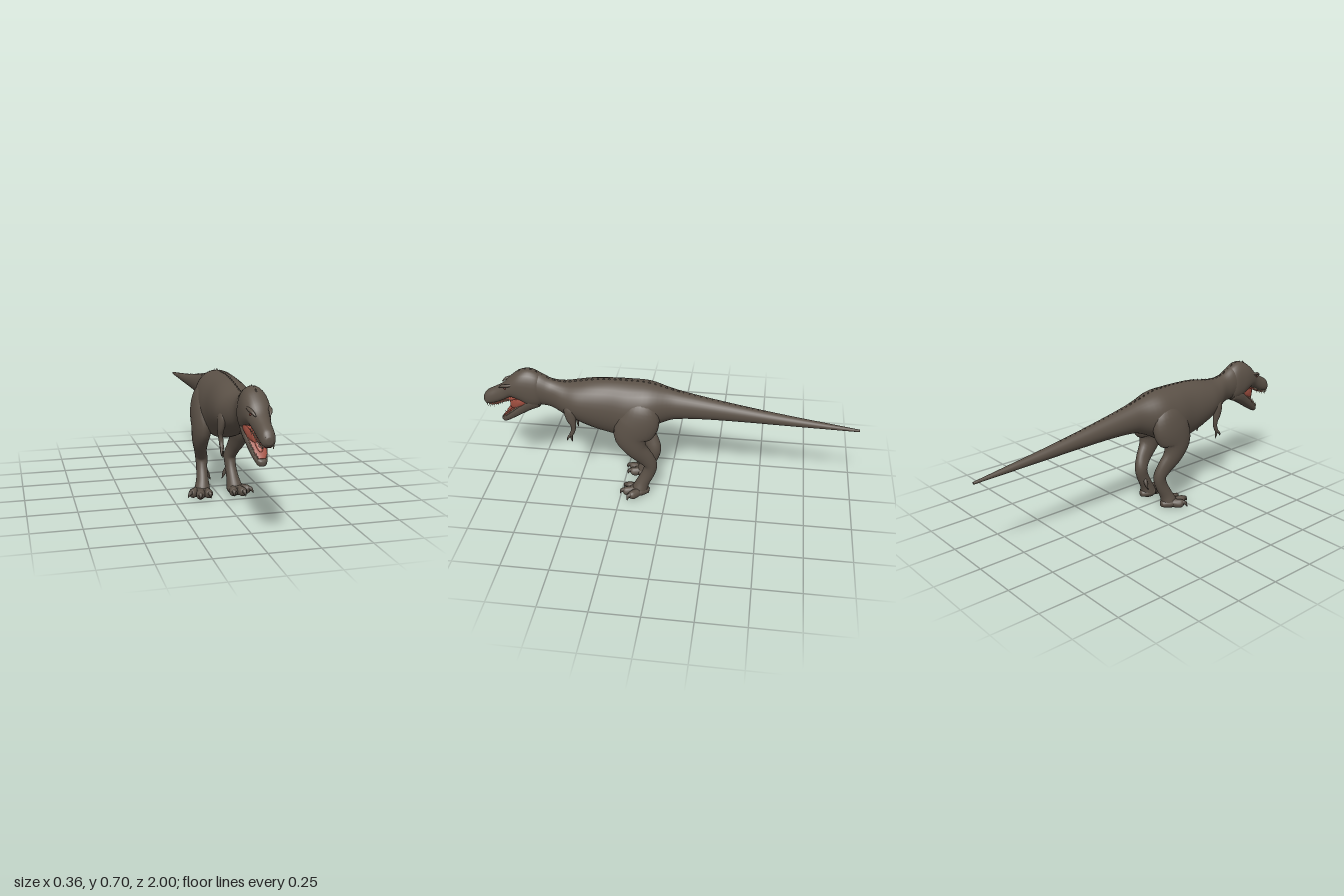
import * as THREE from 'three';
import { mergeGeometries } from 'three/addons/utils/BufferGeometryUtils.js';

const mat = (name, color) => {
  const m = new THREE.MeshStandardMaterial({ color });
  m.name = name;
  return m;
};

// Smooth resampling of rows of numbers
function resample(rows, steps) {
  const out = [];
  const at = i => rows[Math.max(0, Math.min(rows.length - 1, i))];
  for (let i = 0; i < rows.length - 1; i++) {
    for (let k = 0; k < steps; k++) {
      const t = k / steps;
      out.push(rows[i].map((p1, c) => {
        const p0 = at(i - 1)[c], p2 = at(i + 1)[c], p3 = at(i + 2)[c];
        return p1 + 0.5 * t * (p2 - p0 + t * (2 * p0 - 5 * p1 + 4 * p2 - p3 + t * (3 * (p1 - p2) + p3 - p0)));
      }));
    }
  }
  out.push(rows[rows.length - 1]);
  return out;
}

// Closed skin through rows [x, y, z, sideRadius, otherRadius]; taper narrows the upper half
function skin(rows, { steps = 4, sides = 20, upright = false, e = 1, taper = 0 } = {}) {
  const r = resample(rows, steps), pos = [], idx = [];
  const centre = r.map(p => new THREE.Vector3(p[0], p[1], p[2]));
  const pw = v => Math.sign(v) * Math.abs(v) ** e;
  r.forEach((p, i) => {
    const t = centre[Math.min(i + 1, r.length - 1)].clone().sub(centre[Math.max(i - 1, 0)]).normalize();
    if (upright) t.set(0, 0, 1);
    const s = new THREE.Vector3(1, 0, 0).addScaledVector(t, -t.x).normalize();
    const u = t.clone().cross(s);
    for (let j = 0; j < sides; j++) {
      const a = j / sides * Math.PI * 2, h = pw(Math.sin(a));
      const v = centre[i].clone().addScaledVector(s, p[3] * pw(Math.cos(a)) * (1 - taper * h)).addScaledVector(u, p[4] * h);
      pos.push(v.x, v.y, v.z);
    }
  });
  for (let i = 0; i < r.length - 1; i++) {
    for (let j = 0; j < sides; j++) {
      const a = i * sides + j, b = i * sides + (j + 1) % sides;
      idx.push(a, b, a + sides, b, b + sides, a + sides);
    }
  }
  const first = r.length * sides, last = (r.length - 1) * sides;
  pos.push(...centre[0].toArray(), ...centre[r.length - 1].toArray());
  for (let j = 0; j < sides; j++) {
    const k = (j + 1) % sides;
    idx.push(first, k, j, first + 1, last + j, last + k);
  }
  const g = new THREE.BufferGeometry();
  g.setAttribute('position', new THREE.Float32BufferAttribute(pos, 3));
  g.setIndex(idx);
  g.computeVertexNormals();
  return g;
}

// Profile rows [z, top, bottom, halfWidth] running from back to front
const profile = (rows, opts) => skin(rows.map(([z, t, b, w]) => [0, (t + b) / 2, z, w, (t - b) / 2]), { upright: true, ...opts });

// Small spike from base to tip
function spike(base, tip, radius, sides = 6) {
  const a = new THREE.Vector3(...base), d = new THREE.Vector3(...tip).sub(a);
  const g = new THREE.ConeGeometry(radius, d.length(), sides);
  g.translate(0, d.length() / 2, 0);
  g.applyQuaternion(new THREE.Quaternion().setFromUnitVectors(new THREE.Vector3(0, 1, 0), d.normalize()));
  return g.translate(a.x, a.y, a.z);
}

export function createModel() {
  const root = new THREE.Group();
  root.name = 'dinosaur';
  const hide = mat('hide', 0x5b5147), claw = mat('claw', 0x51483f);
  const flesh = mat('mouth flesh', 0xa04f40), tongueMat = mat('tongue', 0xa85446);
  const tooth = mat('tooth', 0xb0a48c), eyeMat = mat('eye', 0x6a2c22);
  const add = (name, geo, m, parent = root) => {
    const mesh = new THREE.Mesh(geo, m);
    mesh.name = name;
    parent.add(mesh);
    return mesh;
  };

  // Tail, trunk and neck
  const trunk = [
    [-1, 0.465, 0.452, 0.006], [-0.8, 0.493, 0.458, 0.018], [-0.6, 0.522, 0.463, 0.028], [-0.4, 0.555, 0.468, 0.038],
    [-0.2, 0.592, 0.47, 0.051], [-0.07, 0.619, 0.465, 0.064], [0, 0.637, 0.45, 0.077], [0.1, 0.663, 0.4, 0.115],
    [0.2, 0.668, 0.335, 0.124], [0.3, 0.668, 0.35, 0.113], [0.4, 0.66, 0.38, 0.111], [0.48, 0.645, 0.415, 0.105],
    [0.55, 0.635, 0.445, 0.083], [0.62, 0.645, 0.48, 0.056], [0.68, 0.675, 0.49, 0.057], [0.74, 0.69, 0.49, 0.06]];
  add('body', profile(trunk, { sides: 32 }), hide);

  // Skull and upper jaw
  const skull = [
    [0.65, 0.645, 0.52, 0.03], [0.69, 0.68, 0.485, 0.058], [0.74, 0.698, 0.48, 0.066], [0.79, 0.687, 0.51, 0.066],
    [0.84, 0.65, 0.53, 0.057], [0.88, 0.608, 0.51, 0.044], [0.92, 0.583, 0.49, 0.038], [0.96, 0.562, 0.477, 0.036],
    [0.985, 0.545, 0.474, 0.03], [1, 0.52, 0.49, 0.014]];
  add('skull', profile(skull, { sides: 28, e: 0.88, taper: 0.08 }), hide);

  // Lower jaw
  const jaw = [
    [0.69, 0.54, 0.48, 0.045], [0.74, 0.545, 0.458, 0.056], [0.79, 0.5, 0.428, 0.05], [0.84, 0.455, 0.396, 0.041],
    [0.88, 0.417, 0.372, 0.03], [0.9, 0.402, 0.366, 0.022], [0.912, 0.392, 0.374, 0.009]];
  add('lowerJaw', profile(jaw, { sides: 24, e: 0.75, taper: -0.12 }), hide);

  // Mouth lining, palate and tongue
  add('mouthLining', profile([[0.73, 0.56, 0.5, 0.05], [0.79, 0.55, 0.48, 0.053], [0.82, 0.54, 0.46, 0.045], [0.85, 0.53, 0.46, 0.03]], { e: 0.7 }), flesh);
  add('palate', skin([[0, 0.535, 0.8, 0.05, 0.006], [0, 0.511, 0.87, 0.037, 0.005], [0, 0.483, 0.93, 0.03, 0.005], [0, 0.473, 0.975, 0.02, 0.004]]), flesh);
  add('mouthFloor', skin([[0, 0.535, 0.75, 0.048, 0.006], [0, 0.502, 0.79, 0.048, 0.006], [0, 0.457, 0.84, 0.039, 0.006], [0, 0.419, 0.88, 0.028, 0.006], [0, 0.402, 0.9, 0.015, 0.004]]), flesh);
  add('tongue', skin([[0, 0.51, 0.79, 0.02, 0.01], [0, 0.468, 0.84, 0.02, 0.01], [0, 0.44, 0.868, 0.014, 0.008], [0, 0.427, 0.88, 0.004, 0.003]]), tongueMat);

  // Teeth along both jaws
  const teeth = [];
  const lerp = (rows, z, c) => {
    const i = Math.max(1, rows.findIndex(r => r[0] >= z)), a = rows[i - 1], b = rows[i];
    return a[c] + (b[c] - a[c]) * (z - a[0]) / (b[0] - a[0]);
  };
  for (const s of [-1, 1]) {
    for (let i = 0; i < 11; i++) {
      const z = 0.855 + i * 0.0125, x = s * lerp(skull, z, 3) * 0.8, y = lerp(skull, z, 2) + 0.007;
      teeth.push(spike([x, y, z], [x, y - 0.019 - 0.004 * (i % 2), z - 0.003], 0.0036));
      const zj = 0.8 + i * 0.0097, xj = s * lerp(jaw, zj, 3) * 0.92, yj = lerp(jaw, zj, 1) - 0.006;
      teeth.push(spike([xj, yj, zj], [xj, yj + 0.018 + 0.003 * (i % 2), zj + 0.004], 0.0035));
    }
  }
  add('teeth', mergeGeometries(teeth), tooth);

  // Spine ridge of small scutes
  const scutes = [];
  for (let z = -0.5; z < 0.8; z += 0.03) {
    const y = z < 0.67 ? lerp(trunk, z, 1) : lerp(skull, z, 1);
    const h = z < -0.05 ? 0.003 : 0.009;
    const g = new THREE.ConeGeometry(0.014, h + 0.008, 8).scale(0.35, 1, 1);
    scutes.push(g.translate(0, y + h / 2 - 0.004, z));
  }
  add('spineRidge', mergeGeometries(scutes), hide);

  for (const s of [-1, 1]) {
    const side = s > 0 ? 'left' : 'right';
    const part = (name, rows, m, parent, opts) => add(name, skin(rows.map(([x, ...r]) => [x * s, ...r]), opts), m, parent);
    const ball = (name, x, y, z, rx, ry, rz, m, parent) => {
      const b = add(name, new THREE.SphereGeometry(1, 16, 10).scale(rx, ry, rz), m, parent);
      b.position.set(x * s, y, z);
    };

    // Eye, brow and nostril
    const face = new THREE.Group();
    face.name = side + 'Face';
    root.add(face);
    ball('eye', 0.0465, 0.595, 0.865, 0.005, 0.005, 0.006, eyeMat, face);
    part('brow', [[0.049, 0.622, 0.81, 0.004, 0.004], [0.047, 0.614, 0.85, 0.009, 0.008], [0.041, 0.607, 0.882, 0.008, 0.007], [0.032, 0.592, 0.9, 0.003, 0.003]], hide, face);
    ball('nostril', 0.015, 0.522, 0.991, 0.005, 0.005, 0.004, claw, face);

    // Arm with two clawed fingers
    const arm = new THREE.Group();
    arm.name = side + 'Arm';
    root.add(arm);
    part('upperArm', [
      [0.066, 0.56, 0.5, 0.01, 0.02], [0.077, 0.51, 0.51, 0.022, 0.036], [0.083, 0.46, 0.508, 0.018, 0.027],
      [0.083, 0.42, 0.499, 0.013, 0.016], [0.08, 0.385, 0.502, 0.011, 0.012], [0.08, 0.355, 0.515, 0.01, 0.01],
      [0.079, 0.34, 0.52, 0.005, 0.006]], hide, arm);
    part('frontFinger', [[0.083, 0.36, 0.516, 0.006, 0.006], [0.086, 0.34, 0.53, 0.006, 0.006], [0.087, 0.32, 0.537, 0.001, 0.001]], hide, arm, { sides: 8 });
    part('rearFinger', [[0.079, 0.355, 0.514, 0.007, 0.007], [0.076, 0.33, 0.515, 0.006, 0.006], [0.074, 0.305, 0.511, 0.001, 0.001]], hide, arm, { sides: 8 });

    // Leg from hip to ankle
    const leg = new THREE.Group();
    leg.name = side + 'Leg';
    root.add(leg);
    part('thighAndShin', [
      [0.045, 0.62, 0.13, 0.02, 0.04], [0.074, 0.55, 0.135, 0.05, 0.09], [0.092, 0.47, 0.15, 0.055, 0.112], [0.1, 0.39, 0.185, 0.05, 0.095],
      [0.102, 0.315, 0.163, 0.042, 0.062], [0.09, 0.25, 0.115, 0.033, 0.047], [0.078, 0.195, 0.088, 0.032, 0.037],
      [0.079, 0.14, 0.1, 0.029, 0.035], [0.083, 0.08, 0.13, 0.033, 0.036], [0.089, 0.03, 0.148, 0.042, 0.044],
      [0.09, 0.006, 0.15, 0.03, 0.035]], hide, leg, { sides: 24 });
    part('foot', [[0.088, 0.025, 0.095, 0.014, 0.014], [0.088, 0.029, 0.125, 0.038, 0.027], [0.093, 0.03, 0.165, 0.046, 0.029], [0.095, 0.025, 0.2, 0.03, 0.02]], hide, leg);

    // Toes with hooked claws: [start x, z, end x, z, claw tip x, z]
    for (const [x0, z0, x1, z1, x2, z2] of [
      [0.075, 0.165, 0.066, 0.215, 0.062, 0.24], [0.1, 0.17, 0.116, 0.225, 0.121, 0.253], [0.115, 0.15, 0.152, 0.186, 0.178, 0.205]]) {
      const xm = (x0 + x1) / 2, zm = (z0 + z1) / 2;
      part('toe', [[x0, 0.032, z0, 0.02, 0.022], [xm, 0.029, zm, 0.023, 0.025], [x1, 0.029, z1, 0.021, 0.023], [x1 + (x2 - x1) * 0.4, 0.027, z1 + (z2 - z1) * 0.4, 0.01, 0.012]], hide, leg, { sides: 14 });
      part('toeClaw', [[x1, 0.036, z1, 0.013, 0.014], [(x1 + x2) / 2, 0.034, (z1 + z2) / 2 + 0.004, 0.01, 0.011], [x2, 0.013, z2, 0.001, 0.001]], claw, leg, { sides: 10 });
    }
    part('innerClaw', [[0.06, 0.135, 0.1, 0.008, 0.01], [0.046, 0.105, 0.097, 0.01, 0.011], [0.031, 0.072, 0.1, 0.001, 0.001]], claw, leg, { sides: 10 });
  }
  return root;
}
